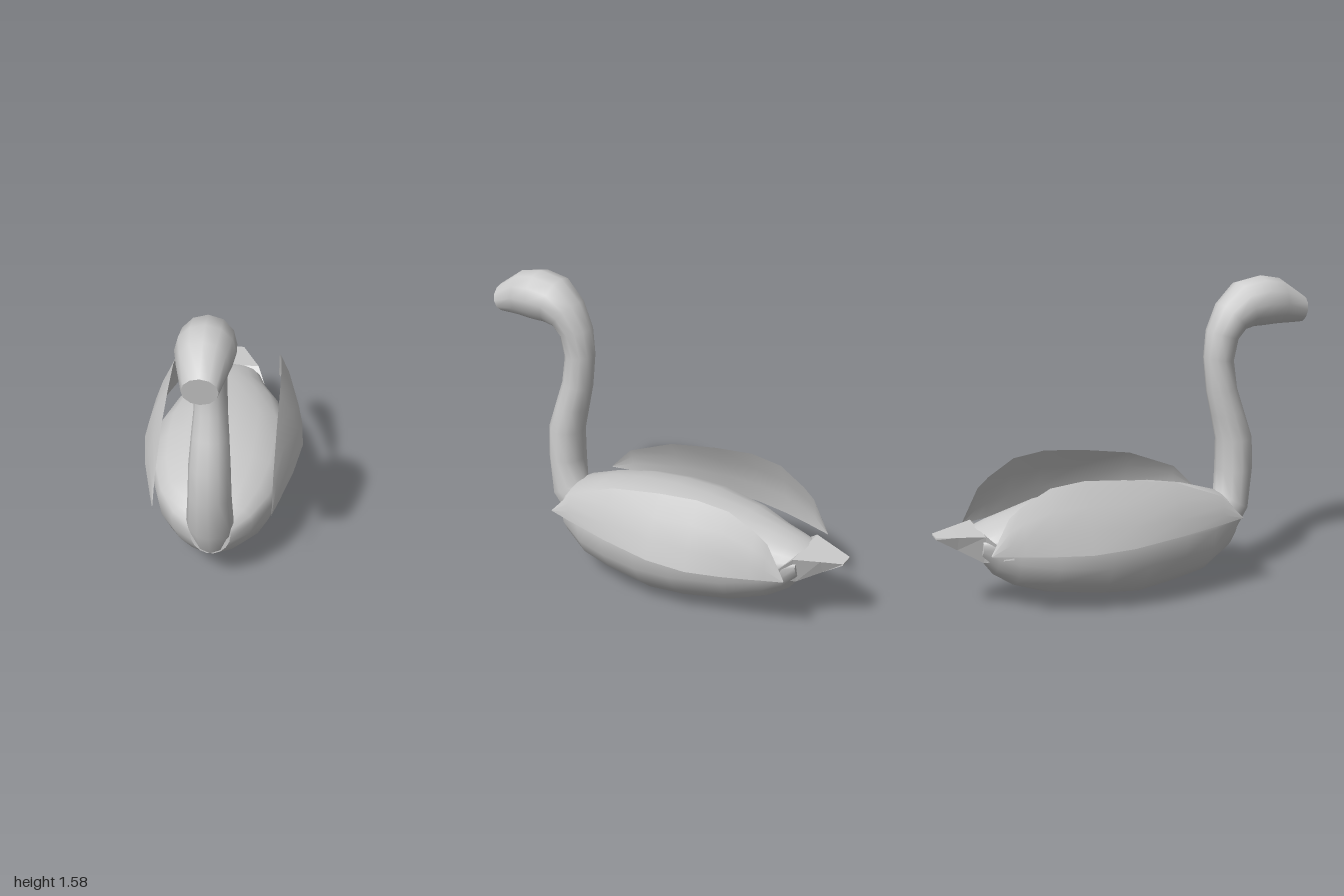
import * as THREE from 'three';

const V = (x, y, z) => new THREE.Vector3(x, y, z);

// Skin over a list of point rows; closed rows wrap round, caps get their own vertices.
function loft(rows, { closed = true, capStart = false, capEnd = false } = {}) {
  const n = rows[0].length, pos = [], idx = [];
  rows.forEach(r => r.forEach(p => pos.push(p.x, p.y, p.z)));
  for (let j = 0; j < rows.length - 1; j++) {
    for (let i = 0; i < (closed ? n : n - 1); i++) {
      const k = (i + 1) % n, a = j * n + i, b = j * n + k;
      idx.push(a, b, a + n, b, b + n, a + n);
    }
  }
  const cap = (row, flip) => {
    const base = pos.length / 3;
    row.forEach(p => pos.push(p.x, p.y, p.z));
    for (let i = 1; i < n - 1; i++) {
      if (flip) idx.push(base, base + i + 1, base + i);
      else idx.push(base, base + i, base + i + 1);
    }
  };
  if (capStart) cap(rows[0], true);
  if (capEnd) cap(rows[rows.length - 1], false);
  const g = new THREE.BufferGeometry();
  g.setAttribute('position', new THREE.Float32BufferAttribute(pos, 3));
  g.setIndex(idx);
  g.computeVertexNormals();
  return g;
}

export function createModel() {
  const group = new THREE.Group();
  const grey = new THREE.MeshStandardMaterial({ color: 0xcccccc });
  const thin = new THREE.MeshStandardMaterial({ color: 0xcccccc, side: THREE.DoubleSide });
  const facet = new THREE.MeshStandardMaterial({ color: 0xcccccc, flatShading: true, side: THREE.DoubleSide });
  const add = (name, geometry, material) => {
    const mesh = new THREE.Mesh(geometry, material);
    mesh.name = name;
    group.add(mesh);
  };

  // Body: boat-shaped hull, widest above the middle. [z, half width, bottom, top]
  const hull = [
    [-0.79, 0.135, 0.29, 0.43], [-0.72, 0.165, 0.19, 0.46], [-0.62, 0.2, 0.12, 0.485],
    [-0.45, 0.285, 0.06, 0.52], [-0.2, 0.355, 0.02, 0.545], [0, 0.36, 0, 0.55],
    [0.2, 0.34, 0.03, 0.535], [0.38, 0.285, 0.06, 0.505], [0.53, 0.2, 0.15, 0.46],
    [0.6, 0.1, 0.2, 0.39],
  ];
  add('body', loft(hull.map(([z, w, b, t]) => {
    const mid = b + (t - b) * 0.66;
    return Array.from({ length: 18 }, (_, i) => {
      const a = (i / 18) * Math.PI * 2, s = Math.sin(a);
      return V(w * Math.cos(a), mid + s * (s > 0 ? t - mid : mid - b), z);
    });
  }), { capStart: true, capEnd: true }), grey);

  // Neck and head: rings between front and back edges. [front z, y, back z, y, half width]
  const neck = [
    [0.61, 0.21, 0.44, 0.42, 0.1], [0.69, 0.36, 0.52, 0.46, 0.115],
    [0.715, 0.58, 0.52, 0.58, 0.105], [0.71, 0.75, 0.52, 0.74, 0.1],
    [0.66, 0.9, 0.49, 0.87, 0.09], [0.62, 1.02, 0.46, 1.0, 0.08],
    [0.6, 1.16, 0.44, 1.18, 0.075], [0.62, 1.27, 0.455, 1.32, 0.09],
    [0.655, 1.315, 0.515, 1.455, 0.11], [0.7, 1.325, 0.62, 1.56, 0.13],
    [0.76, 1.325, 0.75, 1.585, 0.135], [0.86, 1.33, 0.86, 1.565, 0.115],
    [0.98, 1.33, 1.0, 1.47, 0.08],
  ];
  add('neckAndHead', loft(neck.map(([fz, fy, bz, by, w]) =>
    Array.from({ length: 12 }, (_, i) => {
      const a = (i / 12) * Math.PI * 2, k = (1 - Math.cos(a)) / 2;
      return V(w * Math.sin(a), fy + (by - fy) * k, fz + (bz - fz) * k);
    })), { capStart: true, capEnd: true }), grey);

  // Tail: tapering wedge. [z, top half width, top y, bottom half width, bottom y]
  const tail = [
    [-1, 0.04, 0.42, 0.04, 0.412], [-0.9, 0.085, 0.425, 0.05, 0.35],
    [-0.78, 0.14, 0.43, 0.09, 0.28], [-0.66, 0.2, 0.325, 0.2, 0.315],
  ];
  add('tail', loft(tail.map(([z, tw, t, bw, b]) =>
    [V(tw, t, z), V(-tw, t, z), V(-bw, b, z), V(bw, b, z)]),
  { capStart: true, capEnd: true }), facet);

  // Wings: thin raised shells. [z, lower x, lower y, upper x, upper y]
  const wing = [
    [0.53, 0.29, 0.4, 0.292, 0.402], [0.41, 0.32, 0.393, 0.29, 0.53],
    [0.15, 0.38, 0.383, 0.29, 0.635], [-0.12, 0.42, 0.37, 0.29, 0.68],
    [-0.33, 0.408, 0.362, 0.288, 0.7], [-0.5, 0.365, 0.365, 0.278, 0.68],
    [-0.64, 0.318, 0.368, 0.265, 0.6], [-0.7, 0.295, 0.369, 0.26, 0.55],
    [-0.79, 0.262, 0.37, 0.257, 0.375],
  ];
  for (const [name, side] of [['leftWing', 1], ['rightWing', -1]]) {
    add(name, loft(wing.map(([z, lx, ly, ux, uy]) =>
      [0, 0.33, 0.67, 1].map(k => {
        const bulge = 0.12 * (uy - ly) * k * (1 - k) * 2;
        return V(side * (lx + (ux - lx) * k + bulge), ly + (uy - ly) * k, z);
      })), { closed: false }), thin);
  }

  return group;
}
